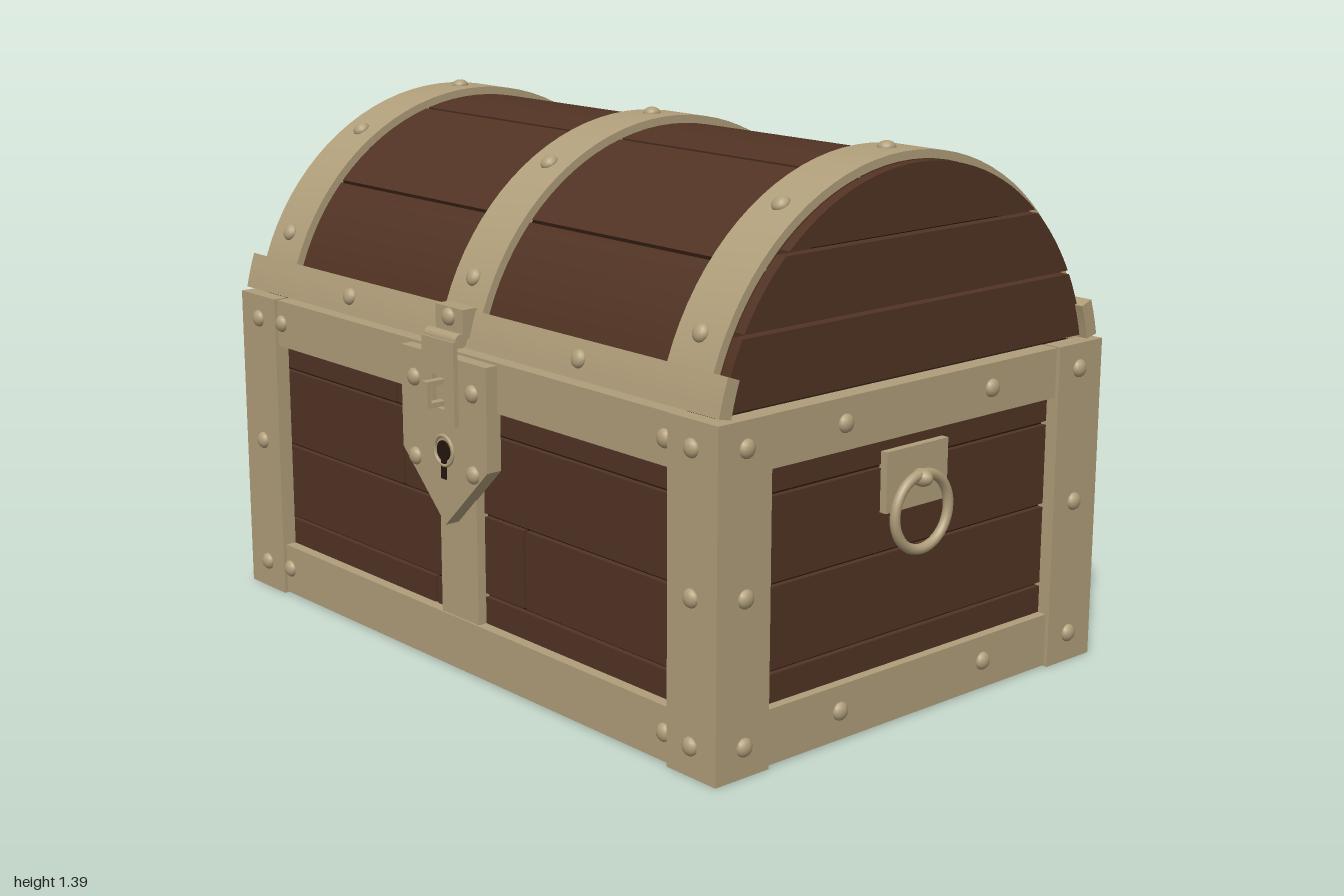
import * as THREE from 'three';
import { toCreasedNormals } from 'three/addons/utils/BufferGeometryUtils.js';

const mat = (name, color) => Object.assign(new THREE.MeshStandardMaterial({ color }), { name });
const ZC = -0.02;   // depth centre of the chest
const LY = 0.716;   // height of the lid arc centre
const rad = THREE.MathUtils.degToRad;

export function createModel() {
  const root = new THREE.Group();
  root.name = 'treasureChest';
  const wood = mat('brown wood', 0x513323);
  const metal = mat('pale brass', 0xb09e7a);
  const dark = mat('dark gap', 0x24160e);

  const add = (name, geo, material, parent = root) => {
    const m = new THREE.Mesh(geo, material);
    m.name = name;
    parent.add(m);
    return m;
  };
  // Box given by its limits
  const box = (name, material, x0, x1, y0, y1, z0, z1, parent = root) => {
    const m = add(name, new THREE.BoxGeometry(x1 - x0, y1 - y0, z1 - z0), material, parent);
    m.position.set((x0 + x1) / 2, (y0 + y1) / 2, (z0 + z1) / 2);
    return m;
  };
  // Extrude a (z, y) outline along x
  const extrudeX = (pts, x0, x1) => {
    const s = new THREE.Shape(pts.map(([z, y]) => new THREE.Vector2(-z, y)));
    const g = new THREE.ExtrudeGeometry(s, { depth: x1 - x0, bevelEnabled: false });
    g.rotateY(Math.PI / 2).translate(x0, 0, 0);
    return toCreasedNormals(g, 0.5);
  };
  // Curved slab around the lid axis; 0 degrees is the top, positive is the front
  const onArc = (r, a) => [ZC + r * Math.sin(rad(a)), LY + r * Math.cos(rad(a))];
  const arcSlab = (name, material, r0, r1, a0, a1, x0, x1) => {
    const n = Math.max(3, Math.round((a1 - a0) / 4)), pts = [];
    for (let i = 0; i <= n; i++) pts.push(onArc(r1, a0 + (a1 - a0) * i / n));
    for (let i = n; i >= 0; i--) pts.push(onArc(r0, a0 + (a1 - a0) * i / n));
    return add(name, extrudeX(pts, x0, x1), material);
  };
  // Domed rivet facing along a normal
  const rivetGeo = new THREE.SphereGeometry(0.023, 14, 10).scale(1, 1, 0.7);
  const rivet = (x, y, z, nx, ny, nz) => {
    const m = add('rivet', rivetGeo, metal);
    m.position.set(x, y, z);
    m.quaternion.setFromUnitVectors(new THREE.Vector3(0, 0, 1), new THREE.Vector3(nx, ny, nz).normalize());
  };
  const arcRivet = (x, r, a) => {
    const [z, y] = onArc(r, a);
    rivet(x, y, z, 0, Math.cos(rad(a)), Math.sin(rad(a)));
  };
  const cylX = (name, r, len, x, y, z) => {
    const m = add(name, new THREE.CylinderGeometry(r, r, len, 16).rotateZ(Math.PI / 2), metal);
    m.position.set(x, y, z);
  };

  // Box core and floor
  box('core', dark, -0.92, 0.92, 0.02, 0.835, ZC - 0.605, ZC + 0.605);
  box('floor', wood, -0.955, 0.955, 0.005, 0.02, ZC - 0.645, ZC + 0.645);

  // Wall planks: four rows split at staggered joints
  const rows = [[0.03, 0.21, -0.135], [0.22, 0.42, 0.235], [0.43, 0.635, -0.265], [0.645, 0.82, -0.29]];
  for (const [y0, y1, joint] of rows) {
    for (const s of [1, -1]) {
      const za = ZC + s * 0.6, zb = ZC + s * 0.62;
      const z0 = Math.min(za, zb), z1 = Math.max(za, zb);
      box('wallPlank', wood, -0.93, joint - 0.005, y0, y1, z0, z1);
      box('wallPlank', wood, joint + 0.005, 0.93, y0, y1, z0, z1);
      box('endPlank', wood, s > 0 ? 0.915 : -0.935, s > 0 ? 0.935 : -0.915, y0, y1, ZC - 0.61, ZC + 0.61);
    }
  }

  // Metal frame: rails, corner posts and their rivets
  for (const s of [1, -1]) {
    const span = (a, b, c = 0) => [Math.min(c + s * a, c + s * b), Math.max(c + s * a, c + s * b)];
    for (const [y0, y1] of [[0.003, 0.14], [0.71, 0.837]]) {
      box('longRail', metal, -0.81, 0.81, y0, y1, ...span(0.6, 0.65, ZC));
      box('endRail', metal, ...span(0.91, 0.96), y0, y1, ZC - 0.5, ZC + 0.5);
    }
    for (const t of [1, -1]) {
      const zs = [ZC + t * 0.62, ZC + t * 0.66].sort((a, b) => a - b);
      const ze = [ZC + t * 0.495, ZC + t * 0.62].sort((a, b) => a - b);
      box('cornerPost', metal, ...span(0.805, 0.97), 0, 0.84, ...zs);
      box('cornerPost', metal, ...span(0.92, 0.97), 0, 0.84, ...ze);
      for (const y of [0.075, 0.428, 0.775]) {
        rivet(s * 0.885, y, ZC + t * 0.66, 0, 0, t);
        rivet(s * 0.97, y, ZC + t * 0.573, s, 0, 0);
      }
      for (const y of [0.075, 0.775]) {
        rivet(s * 0.785, y, ZC + t * 0.65, 0, 0, t);
        rivet(s * 0.96, y, ZC + t * 0.253, s, 0, 0);
      }
    }

    // Side handle: plate, boss and hanging ring
    box('handlePlate', metal, ...span(0.93, 0.955), 0.527, 0.677, ZC - 0.106, ZC + 0.106);
    const boss = add('handleBoss', new THREE.SphereGeometry(0.022, 16, 12), metal);
    boss.scale.x = 1.4;
    boss.position.set(s * 0.969, 0.6, ZC);
    const ring = add('handleRing', new THREE.TorusGeometry(0.093, 0.013, 10, 40).rotateY(Math.PI / 2), metal);
    ring.position.set(s * 0.972, 0.517, ZC);
  }

  // Lid: five curved planks
  for (let i = 0; i < 5; i++) {
    const a = -78 + i * 31.2;
    arcSlab('lidPlank', wood, 0.567, 0.634, a + 0.4, a + 30.8, -0.908, 0.908);
  }
  arcSlab('lidLining', dark, 0.562, 0.57, -76, 76, -0.9, 0.9);

  // Lid end boards, with narrow open gaps between them
  for (const [y0, y1] of [[0.85, 1.012], [1.022, 1.18], [1.19, 1.348]]) {
    const R = 0.632, pts = [];
    const a1 = Math.acos((y0 - LY) / R), a0 = Math.acos(Math.min(1, (y1 - LY) / R));
    const at = a => [R * Math.sin(a), LY + R * Math.cos(a)];
    for (let i = 0; i <= 12; i++) pts.push(at(a0 + (a1 - a0) * i / 12));
    const outline = [...pts.map(([z, y]) => [ZC + z, y]), ...pts.reverse().map(([z, y]) => [ZC - z, y])];
    add('lidEndBoard', extrudeX(outline, 0.906, 0.937), wood);
    add('lidEndBoard', extrudeX(outline, -0.937, -0.906), wood);
  }

  // Lid bands and lower rims
  for (const x of [-0.83, 0, 0.83]) {
    arcSlab('lidBand', metal, 0.63, 0.655, -78, 78, x - 0.076, x + 0.076);
    for (const a of [-63, -31.5, 0, 31.5, 63]) arcRivet(x, 0.655, a);
  }
  arcSlab('frontRim', metal, 0.625, 0.662, 70, 78.2, -0.96, 0.96);
  arcSlab('backRim', metal, 0.625, 0.662, -78.2, -70, -0.96, 0.96);
  for (const s of [1, -1]) {
    arcRivet(s * 0.47, 0.662, 74);
    arcRivet(s * 0.27, 0.662, -74);
  }

  // Front strap and pointed lock plate
  box('frontStrap', metal, -0.076, 0.076, 0.13, 0.72, 0.59, 0.625);
  const plateZ = (name, pts, z, depth, hole) => {
    const shape = new THREE.Shape(pts.map(p => new THREE.Vector2(...p)));
    if (hole) shape.holes.push(new THREE.Path(hole.map(p => new THREE.Vector2(...p))));
    const m = add(name, new THREE.ExtrudeGeometry(shape, { depth, bevelEnabled: false }), metal);
    m.position.z = z;
    return m;
  };
  plateZ('lockPlate', [[-0.175, 0.83], [-0.175, 0.565], [0, 0.395], [0.175, 0.565], [0.175, 0.83]], 0.622, 0.043);
  for (const x of [-0.12, 0.12]) for (const y of [0.55, 0.755]) rivet(x, y, 0.665, 0, 0, 1);

  // Keyhole with its surrounding collar
  const collar = add('keyholeCollar', new THREE.TorusGeometry(0.038, 0.005, 8, 28), metal);
  collar.position.set(0, 0.588, 0.666);
  const eye = add('keyholeEye', new THREE.CylinderGeometry(0.026, 0.026, 0.006, 20).rotateX(Math.PI / 2), dark);
  eye.position.set(0, 0.588, 0.666);
  box('keyholeSlot', dark, -0.01, 0.01, 0.515, 0.58, 0.663, 0.669);

  // Hasp: lid leaf, hinge barrel, slotted flap and staple
  box('haspLeaf', metal, -0.056, 0.056, 0.875, 0.95, 0.6, 0.642);
  rivet(0, 0.925, 0.642, 0, 0, 1);
  cylX('haspBarrel', 0.018, 0.13, 0, 0.875, 0.655);
  plateZ('haspFlap', [[-0.065, 0.66], [0.065, 0.66], [0.065, 0.875], [-0.065, 0.875]], 0.666, 0.014,
    [[-0.025, 0.7], [-0.025, 0.785], [0.025, 0.785], [0.025, 0.7]]);
  for (const y of [0.705, 0.76]) box('stapleArm', metal, -0.011, 0.011, y, y + 0.013, 0.66, 0.72);
  box('stapleEnd', metal, -0.011, 0.011, 0.705, 0.773, 0.708, 0.72);

  // Back hinges: curved upper leaf, pointed lower leaf and knuckles
  for (const x of [-0.53, 0.53]) {
    arcSlab('hingeUpperLeaf', metal, 0.64, 0.675, -78, -48, x - 0.1, x + 0.1);
    arcRivet(x, 0.675, -53.5);
    arcRivet(x, 0.675, -66);
    plateZ('hingeLowerLeaf', [[x - 0.1, 0.845], [x - 0.1, 0.46], [x, 0.39], [x + 0.1, 0.46], [x + 0.1, 0.845]], -0.687, 0.03);
    for (const y of [0.765, 0.615, 0.475]) rivet(x, y, -0.687, 0, 0, -1);
    cylX('hingePin', 0.016, 0.24, x, 0.853, -0.692);
    for (let i = -2; i <= 2; i++) cylX('hingeKnuckle', 0.025, 0.037, x + i * 0.042, 0.853, -0.692);
  }
  return root;
}
